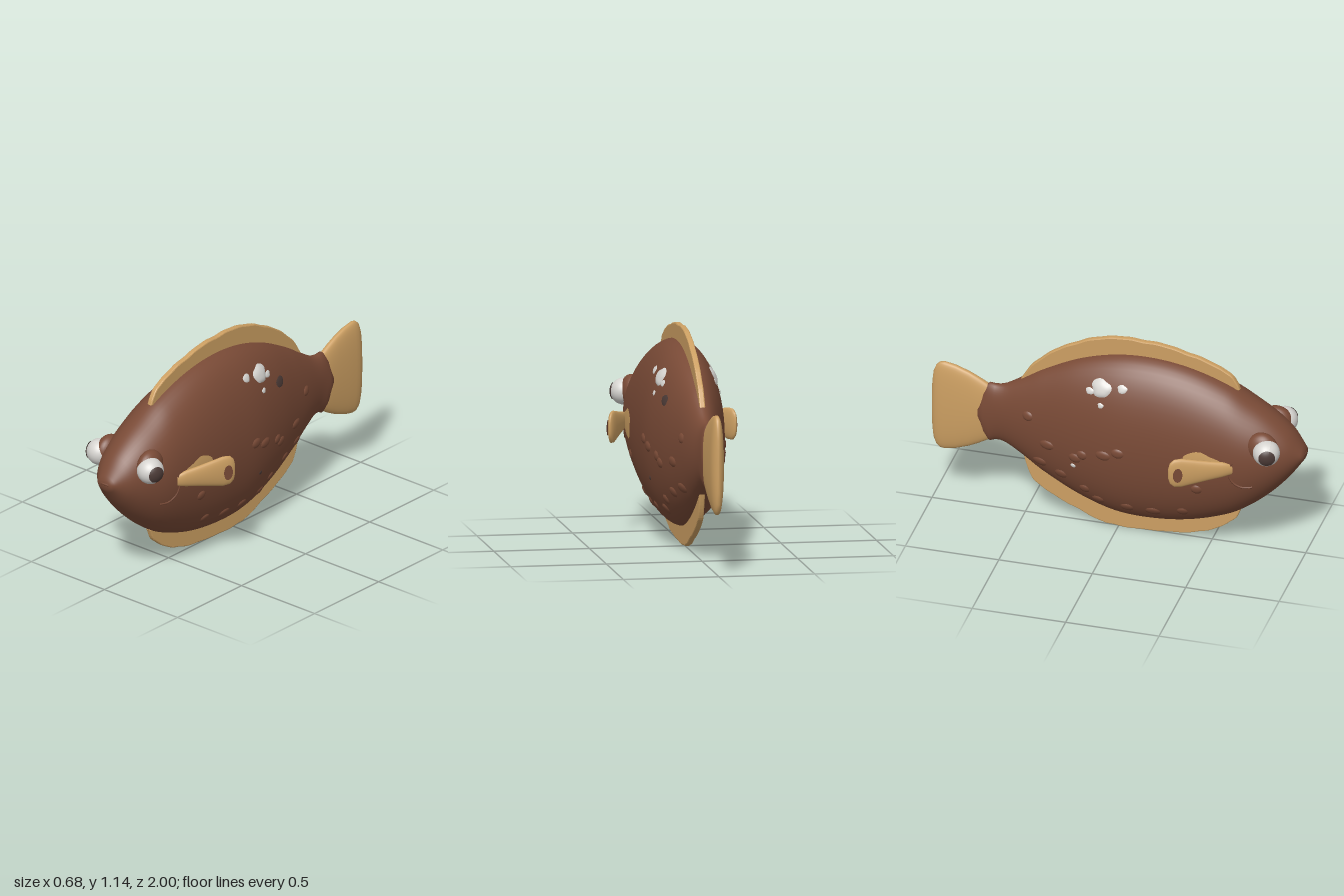
import * as THREE from 'three';

const mat = (name, color) => new THREE.MeshStandardMaterial({ name, color, side: THREE.DoubleSide });

// Body stations: z, top y, bottom y, half width
const STATIONS = [
  [1, 0.625, 0.575, 0.045], [0.97, 0.67, 0.53, 0.075], [0.92, 0.735, 0.46, 0.118], [0.83, 0.81, 0.36, 0.165],
  [0.72, 0.88, 0.265, 0.198], [0.6, 0.95, 0.19, 0.21], [0.4, 1.02, 0.122, 0.216], [0.2, 1.05, 0.095, 0.215],
  [0, 1.04, 0.105, 0.205], [-0.2, 0.985, 0.17, 0.17], [-0.4, 0.885, 0.275, 0.12], [-0.5, 0.82, 0.345, 0.094],
  [-0.6, 0.757, 0.405, 0.066], [-0.65, 0.744, 0.415, 0.054], [-0.7, 0.747, 0.4, 0.046],
  [-0.72, 0.72, 0.43, 0.044], [-0.745, 0.63, 0.52, 0.041],
];

// Smooth interpolation of the stations at z, giving [top, bottom, half width]
function section(z) {
  const S = STATIONS, n = S.length;
  let i = 0;
  while (i < n - 2 && z < S[i + 1][0]) i++;
  const d = S[i + 1][0] - S[i][0], t = (z - S[i][0]) / d;
  return [1, 2, 3].map((k) => {
    const slope = (j) => {
      const a = Math.max(j - 1, 0), b = Math.min(j + 1, n - 1);
      return (S[b][k] - S[a][k]) / (S[b][0] - S[a][0]);
    };
    const t2 = t * t, t3 = t2 * t;
    return S[i][k] * (2 * t3 - 3 * t2 + 1) + S[i + 1][k] * (3 * t2 - 2 * t3)
      + slope(i) * d * (t3 - 2 * t2 + t) + slope(i + 1) * d * (t3 - t2);
  });
}

// Body half width at a point of the side profile
function surfaceX(z, y) {
  const [top, bottom, w] = section(z);
  const v = (y - (top + bottom) / 2) / ((top - bottom) / 2);
  return w * Math.sqrt(Math.max(0, 1 - v * v));
}

function indexed(pos, idx) {
  const g = new THREE.BufferGeometry();
  g.setAttribute('position', new THREE.Float32BufferAttribute(pos, 3));
  g.setIndex(idx);
  g.computeVertexNormals();
  return g;
}

// Skin over rows [centre x, y, z, half thickness x, half thickness z, half height]
function loft(rows, power = 1, n = 56) {
  const pos = [], idx = [];
  const first = [...rows[0]], last = [...rows[rows.length - 1]];
  for (const r of [first, last]) r[3] = r[4] = r[5] = 0;
  const all = [first, ...rows, last];
  const bulge = (c) => Math.sign(c) * Math.abs(c) ** power;
  all.forEach(([x, y, z, ax, az, h], i) => {
    for (let j = 0; j < n; j++) {
      const a = (j / n) * Math.PI * 2, c = bulge(Math.cos(a)), s = Math.sin(a);
      pos.push(x + ax * c, y + h * s, z + az * c);
      if (i === all.length - 1) continue;
      const k = (j + 1) % n, p = i * n, q = p + n;
      idx.push(p + j, q + j, p + k, p + k, q + j, q + k);
    }
  });
  return indexed(pos, idx);
}

// Round patch draped over the body's left side, raised in the middle
function patch(z0, y0, rz, ry, lift, wobble = 0) {
  const n = 24, rings = 6, pos = [], idx = [];
  for (let i = 0; i <= rings; i++) for (let j = 0; j < n; j++) {
    const r = i / rings, a = (j / n) * Math.PI * 2;
    const k = r * (1 + wobble * Math.sin(3 * a + 1) + wobble * 0.6 * Math.sin(5 * a));
    const z = z0 + rz * k * Math.cos(a), y = y0 + ry * k * Math.sin(a);
    pos.push(surfaceX(z, y) + lift * (1 - r ** 3) + (lift < 0.006 ? 0.002 : -0.001), y, z);
    if (i === rings) continue;
    const p = i * n, q = p + n, m = (j + 1) % n;
    idx.push(p + j, p + m, q + j, p + m, q + m, q + j);
  }
  return indexed(pos, idx);
}

function mirrored(geo) {
  const g = geo.clone().scale(-1, 1, 1), ix = g.index.array;
  for (let i = 0; i < ix.length; i += 3) [ix[i], ix[i + 1]] = [ix[i + 1], ix[i]];
  g.computeVertexNormals();
  return g;
}

// Thin median fin: rippled outer edge, inner edge buried in the body
function medianFin(outer, inner) {
  const curve = new THREE.SplineCurve(outer.map((p) => new THREE.Vector2(...p)));
  const pts = curve.getPoints(70);
  pts.forEach((p, i) => { p.y += 0.003 * Math.sin(i * 0.9) * Math.sin(i * 0.23); });
  const shape = new THREE.Shape([...pts, ...inner.map((p) => new THREE.Vector2(...p))]);
  const g = new THREE.ExtrudeGeometry(shape, {
    depth: 0.016, bevelEnabled: true, bevelThickness: 0.007, bevelSize: 0.006, bevelOffset: -0.006, bevelSegments: 2,
  });
  return g.translate(0, 0, -0.008).rotateY(-Math.PI / 2);
}

export function createModel() {
  const root = new THREE.Group();
  root.name = 'fish';
  const brown = mat('bodyBrown', 0x794a36), tan = mat('finTan', 0xcc9f62);
  const white = mat('eyeWhite', 0xd6d4d0), dark = mat('pupilDark', 0x4c3b37);
  const add = (name, geo, material) => {
    const m = new THREE.Mesh(geo, material);
    m.name = name;
    root.add(m);
  };
  const pair = (name, geo, material) => {
    add(name + 'Left', geo, material);
    add(name + 'Right', mirrored(geo), material);
  };

  // Body
  const rows = [];
  for (let i = 0; i <= 70; i++) {
    const z = 1 - 1.745 * (i / 70) ** 1.15;
    const [t, b, w] = section(z);
    rows.push([0, (t + b) / 2, z, w, 0, (t - b) / 2]);
  }
  add('body', loft(rows), brown);

  // Tail fin: z, half thickness, half height
  const tail = [[-0.67, 0.03, 0.15], [-0.7, 0.036, 0.168], [-0.75, 0.038, 0.197], [-0.8, 0.038, 0.222],
    [-0.87, 0.038, 0.248], [-0.93, 0.036, 0.26], [-0.955, 0.034, 0.256], [-0.975, 0.029, 0.238],
    [-0.99, 0.02, 0.2], [-0.997, 0.01, 0.14], [-1, 0.003, 0.06]];
  add('tailFin', loft(tail.map(([z, w, h]) => [0, 0.572, z, w, 0, h]), 0.75), tan);

  // Fins along the back and belly
  add('dorsalFin', medianFin([[0.65, 0.93], [0.62, 0.99], [0.54, 1.045], [0.4, 1.093], [0.25, 1.127], [0.1, 1.137],
    [-0.05, 1.13], [-0.2, 1.08], [-0.33, 1.01], [-0.45, 0.91], [-0.53, 0.79]],
    [[-0.4, 0.82], [-0.2, 0.9], [0, 0.96], [0.2, 0.97], [0.4, 0.94], [0.58, 0.88]]), tan);
  add('bellyFin', medianFin([[0.66, 0.22], [0.62, 0.145], [0.52, 0.075], [0.4, 0.032], [0.2, 0.007], [0, 0.006],
    [-0.1, 0.022], [-0.25, 0.086], [-0.4, 0.165], [-0.47, 0.235], [-0.51, 0.36]],
    [[-0.4, 0.34], [-0.2, 0.24], [0, 0.17], [0.2, 0.16], [0.4, 0.19], [0.58, 0.26]]), tan);

  // Pectoral fins: x, z, half thickness, half height
  const fin = [[0.195, 0.66, 0.015, 0.03], [0.215, 0.61, 0.02, 0.044], [0.243, 0.55, 0.021, 0.055],
    [0.275, 0.48, 0.021, 0.07], [0.302, 0.42, 0.021, 0.083], [0.318, 0.385, 0.018, 0.08],
    [0.327, 0.366, 0.012, 0.06], [0.33, 0.358, 0.004, 0.03]];
  pair('pectoralFin', loft(fin.map(([x, z, w, h]) => [x, 0.564, z, w * 0.9, w * 0.43, h]), 0.85, 32), tan);
  // Brown tip marking on the outer face of each pectoral fin
  const tip = new THREE.CircleGeometry(1, 16).scale(0.025, 0.042, 1).rotateY(1.13).translate(0.331, 0.56, 0.409);
  pair('pectoralTip', tip, brown);
  // Tan patch on the flank behind each pectoral fin
  pair('flankPatch', patch(0.5, 0.57, 0.1, 0.075, 0.002, 0.1), tan);

  // Eyes set in low sockets
  const gaze = new THREE.Quaternion().setFromUnitVectors(
    new THREE.Vector3(0, 1, 0), new THREE.Vector3(0.93, 0, 0.3).normalize());
  const place = (g) => g.applyQuaternion(gaze).translate(0.172, 0.678, 0.838);
  pair('eye', place(new THREE.SphereGeometry(0.07, 32, 24)), white);
  pair('pupil', place(new THREE.SphereGeometry(0.074, 28, 10, 0, Math.PI * 2, 0, 0.63)), dark);
  pair('eyeSocket', new THREE.SphereGeometry(1, 28, 20).scale(0.055, 0.085, 0.085).translate(0.14, 0.685, 0.805), brown);

  // Mouth ridge and gill creases
  const tube = (pts, r) => new THREE.TubeGeometry(
    new THREE.CatmullRomCurve3(pts.map((p) => new THREE.Vector3(...p))), 24, r, 8);
  add('mouth', tube([[-0.06, 0.597, 0.975], [-0.03, 0.602, 0.993], [0.03, 0.602, 0.993], [0.06, 0.597, 0.975]], 0.007), brown);
  const gill = [[0.66, 0.6], [0.645, 0.54], [0.665, 0.485], [0.71, 0.455], [0.76, 0.455]];
  pair('gillRidge', tube(gill.map(([z, y]) => [surfaceX(z, y) - 0.003, y, z]), 0.007), brown);

  // Pale raised spots on both sides
  [[-0.055, 0.897, 0.055, 0.046, 0.014], [-0.115, 0.872, 0.026, 0.018, 0.006], [0.06, 0.915, 0.026, 0.021, 0.005],
    [-0.05, 0.812, 0.016, 0.014, 0.004]].forEach(([z, y, rz, ry, lift]) =>
    pair('paleSpot', patch(z, y, rz, ry, lift, 0.07), white));
  add('smallPaleSpot', mirrored(patch(-0.2, 0.42, 0.014, 0.012, 0.004)), white);

  // Dark spots on the left side
  add('darkSpot', patch(-0.205, 0.798, 0.034, 0.028, 0.003, 0.05), dark);
  add('smallDarkSpot', patch(-0.01, 0.362, 0.013, 0.012, 0.003), dark);

  // Low skin bumps
  [[-0.15, 0.5], [-0.19, 0.47], [-0.35, 0.5], [-0.46, 0.64], [0.05, 0.56], [-0.03, 0.53], [0.47, 0.41], [0.08, 0.2],
    [0.22, 0.2], [-0.15, 0.27], [-0.08, 0.21], [-0.4, 0.37], [0.38, 0.23], [-0.28, 0.33]].forEach(([z, y], i) =>
    pair('skinBump', patch(z, y, 0.03 + 0.006 * (i % 3), 0.028, 0.009), brown));

  return root;
}
